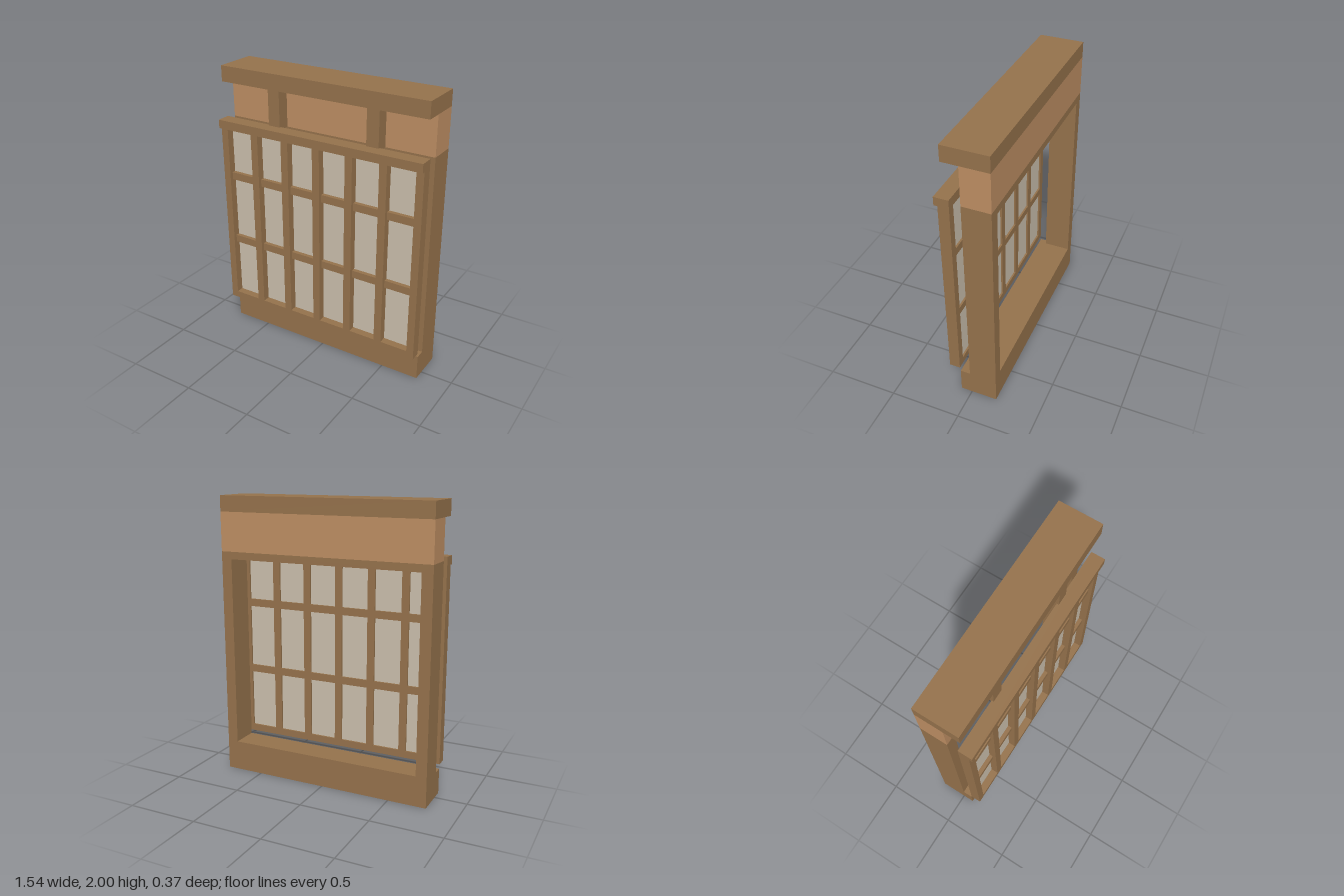
import * as THREE from 'three';

export function createModel() {
  const model = new THREE.Group();
  model.name = 'latticeWindow';

  const wood = new THREE.MeshStandardMaterial({ color: 0x94714b });
  wood.name = 'brown wood';
  const plaster = new THREE.MeshStandardMaterial({ color: 0xbc8d62 });
  plaster.name = 'tan wall';
  const paper = new THREE.MeshStandardMaterial({ color: 0xc9bdab });
  paper.name = 'pale pane';

  const HALF = 0.772; // half width of the whole window

  // Box given by its limits on each axis
  function box(parent, name, material, [x0, x1], [y0, y1], [z0, z1]) {
    const mesh = new THREE.Mesh(new THREE.BoxGeometry(x1 - x0, y1 - y0, z1 - z0), material);
    mesh.position.set((x0 + x1) / 2, (y0 + y1) / 2, (z0 + z1) / 2);
    mesh.name = name;
    parent.add(mesh);
  }

  // Rectangular frame with one opening, extruded along z
  function frame(parent, name, outer, inner, [z0, z1]) {
    const corners = ([x, y0, y1]) => [[-x, y0], [x, y0], [x, y1], [-x, y1]].map(p => new THREE.Vector2(...p));
    const shape = new THREE.Shape(corners(outer));
    shape.holes.push(new THREE.Path(corners(inner).reverse()));
    const geometry = new THREE.ExtrudeGeometry(shape, { depth: z1 - z0, bevelEnabled: false });
    geometry.translate(0, 0, z0);
    const mesh = new THREE.Mesh(geometry, wood);
    mesh.name = name;
    parent.add(mesh);
  }

  const full = [-HALF, HALF];

  // Wall opening, infill, top beam and sill
  frame(model, 'wallFrame', [HALF, 0, 1.617], [0.695, 0.215, 1.565], [-0.183, 0.01]);
  box(model, 'upperWall', plaster, full, [1.617, 1.89], [-0.183, 0.01]);
  box(model, 'topBeam', wood, full, [1.89, 2], [-0.183, 0.125]);
  box(model, 'sill', wood, full, [0, 0.18], [0.01, 0.08]);

  // Brackets carrying the screen
  for (const x of [-0.364, 0.384]) {
    box(model, 'bracket', wood, [x - 0.044, x + 0.044], [1.617, 1.89], [0.01, 0.1]);
  }

  // Lattice screen standing in front of the opening
  const screen = new THREE.Group();
  screen.name = 'screen';
  model.add(screen);
  const depth = [0.085, 0.16];
  const inside = 0.72;
  frame(screen, 'screenFrame', [HALF, 0.21, 1.575], [inside, 0.26, 1.57], depth);
  box(screen, 'screenTopRail', wood, full, [1.575, 1.635], [0.085, 0.185]);
  box(screen, 'pane', paper, [-inside, inside], [0.26, 1.57], [0.098, 0.106]);

  const bar = 0.027; // half width of a lattice bar
  const centres = [-2, -1, 0, 1, 2].map(i => i * 0.2475);
  for (const x of centres) {
    box(screen, 'uprightBar', wood, [x - bar, x + bar], [0.26, 1.57], depth);
  }

  // Shallower cross bars fill the gaps between the uprights
  const starts = [-inside, ...centres.map(x => x + bar)];
  const ends = [...centres.map(x => x - bar), inside];
  for (const y of [0.71, 1.213]) {
    starts.forEach((x, i) => box(screen, 'crossBar', wood, [x, ends[i]], [y - bar, y + bar], [0.085, 0.135]));
  }

  return model;
}
